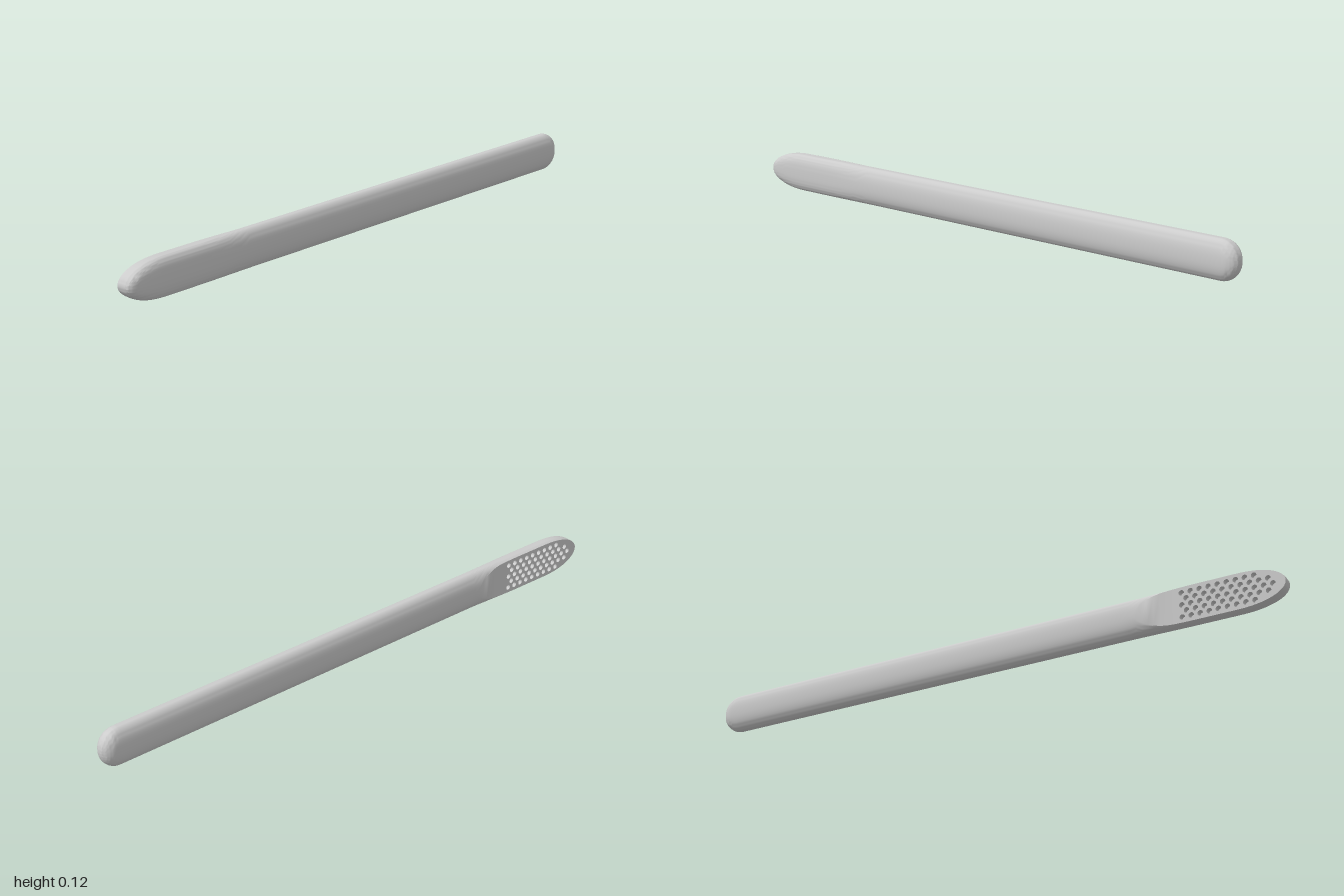
import * as THREE from 'three';
import { mergeGeometries, toCreasedNormals } from 'three/addons/utils/BufferGeometryUtils.js';

const H = 0.0625;          // half height of the handle
const T = 0.032;           // half thickness of the handle
const FLAT = 0.021;        // depth of the flat back of the head
const FLAT_END = -0.64;    // where the flat back starts to rise into the handle
const SIDE = 40;           // points around one cross-section

const smooth = THREE.MathUtils.smoothstep;
const dome = (u, p = 2) => Math.pow(Math.max(0, 1 - Math.pow(Math.max(0, u), p)), 1 / 2);

// Size and squareness of the cross-section at x
function section(x) {
  const head = 1 - smooth(x, -0.72, -0.48);
  const endZ = dome((x - 0.96) / 0.04);
  const tip = 0.35 + 0.65 * dome((-0.96 - x) / 0.04);
  const back = (T + 0.008 * head) * endZ;
  const flat = FLAT + (T + 0.001 - FLAT) * smooth(x, FLAT_END, -0.5);
  return {
    h: H * dome((x - (1 - H)) / H) * dome((-0.84 - x) / 0.16, 2.3),
    front: T * endZ * tip,
    back,
    n: 2.3 + 0.5 * head,
    flat: Math.min(flat, back),
  };
}

// Closed ring; the first and last points are the rims of the flat back
function ring(x) {
  const { h, front, back, n, flat } = section(x);
  const phi = back > 0 ? Math.asin(Math.min(1, Math.pow(flat / back, n / 2))) : Math.PI / 2;
  const pts = [];
  for (let j = 0; j <= SIDE; j++) {
    const a = -phi + (j / SIDE) * (Math.PI + 2 * phi);
    const c = Math.cos(a), s = Math.sin(a);
    const y = h * Math.sign(c) * Math.pow(Math.abs(c), 2 / n);
    const z = Math.sign(s) * Math.pow(Math.abs(s), 2 / n) * (s > 0 ? front : back);
    pts.push([x, H + y, z]);
  }
  return pts;
}

// Stations along the length, closer together at both ends
function stations() {
  const xs = [];
  for (let i = 0; i <= 18; i++) xs.push(-0.84 - 0.16 * Math.cos((i / 18) * Math.PI / 2));
  for (let x = -0.8; x < -0.45; x += 0.02) xs.push(Math.round(x * 100) / 100);
  for (let x = -0.4; x < 0.85; x += 0.1) xs.push(x);
  for (let i = 0; i <= 18; i++) xs.push(0.93 + 0.07 * Math.sin((i / 18) * Math.PI / 2));
  return xs;
}

export function createModel() {
  const group = new THREE.Group();
  const add = (name, geometry, side = THREE.FrontSide) => {
    const mesh = new THREE.Mesh(geometry, new THREE.MeshStandardMaterial({ color: 0xcccccc, side }));
    mesh.name = name;
    group.add(mesh);
  };

  // Handle and head in one loft, left open where the socket plate sits
  const xs = stations();
  const rings = xs.map(ring);
  const row = SIDE + 1;
  const index = [];
  for (let i = 0; i < xs.length - 1; i++) {
    const open = xs[i + 1] <= FLAT_END + 1e-6;
    for (let j = 0; j < (open ? SIDE : row); j++) {
      const k = (j + 1) % row;
      const a = i * row + j, b = i * row + k, c = a + row, d = b + row;
      index.push(a, b, c, b, d, c);
    }
  }
  const loft = new THREE.BufferGeometry();
  loft.setAttribute('position', new THREE.Float32BufferAttribute(rings.flat(2), 3));
  loft.setIndex(index);
  add('handle', toCreasedNormals(loft, 0.6));

  // Flat back of the head, drawn mirrored and turned to face backwards
  const rims = rings.filter((r, i) => xs[i] <= FLAT_END + 1e-6);
  const upper = rims.map((r) => new THREE.Vector2(-r[0][0], r[0][1]));
  const lower = rims.slice(1).map((r) => new THREE.Vector2(-r[SIDE][0], r[SIDE][1]));
  const plate = new THREE.Shape([...upper, ...lower.reverse()]);

  // Staggered bristle sockets that fit inside the rim
  const R = 0.0088, DEPTH = 0.02;
  const profile = [[0, -DEPTH], [R, -DEPTH], [R, -DEPTH], [R, 0]].map((p) => new THREE.Vector2(...p));
  const sockets = [];
  for (let r = -2; r <= 2; r++) {
    for (let c = 0; c < 11; c++) {
      const x = -0.96 + c * 0.029 + (r % 2 ? 0.0145 : 0), y = r * 0.02;
      if (x > -0.66 || Math.abs(y) + R + 0.004 > section(x - R).h) continue;
      const hole = new THREE.Path();
      hole.absarc(-x, H + y, R, 0, Math.PI * 2, true);
      plate.holes.push(hole);
      sockets.push(new THREE.LatheGeometry(profile, 16).rotateX(-Math.PI / 2).translate(x, H + y, -FLAT));
    }
  }
  add('headBack', new THREE.ShapeGeometry(plate, 8).rotateY(Math.PI).translate(0, 0, -FLAT));
  add('bristleSockets', mergeGeometries(sockets), THREE.DoubleSide);

  return group;
}
